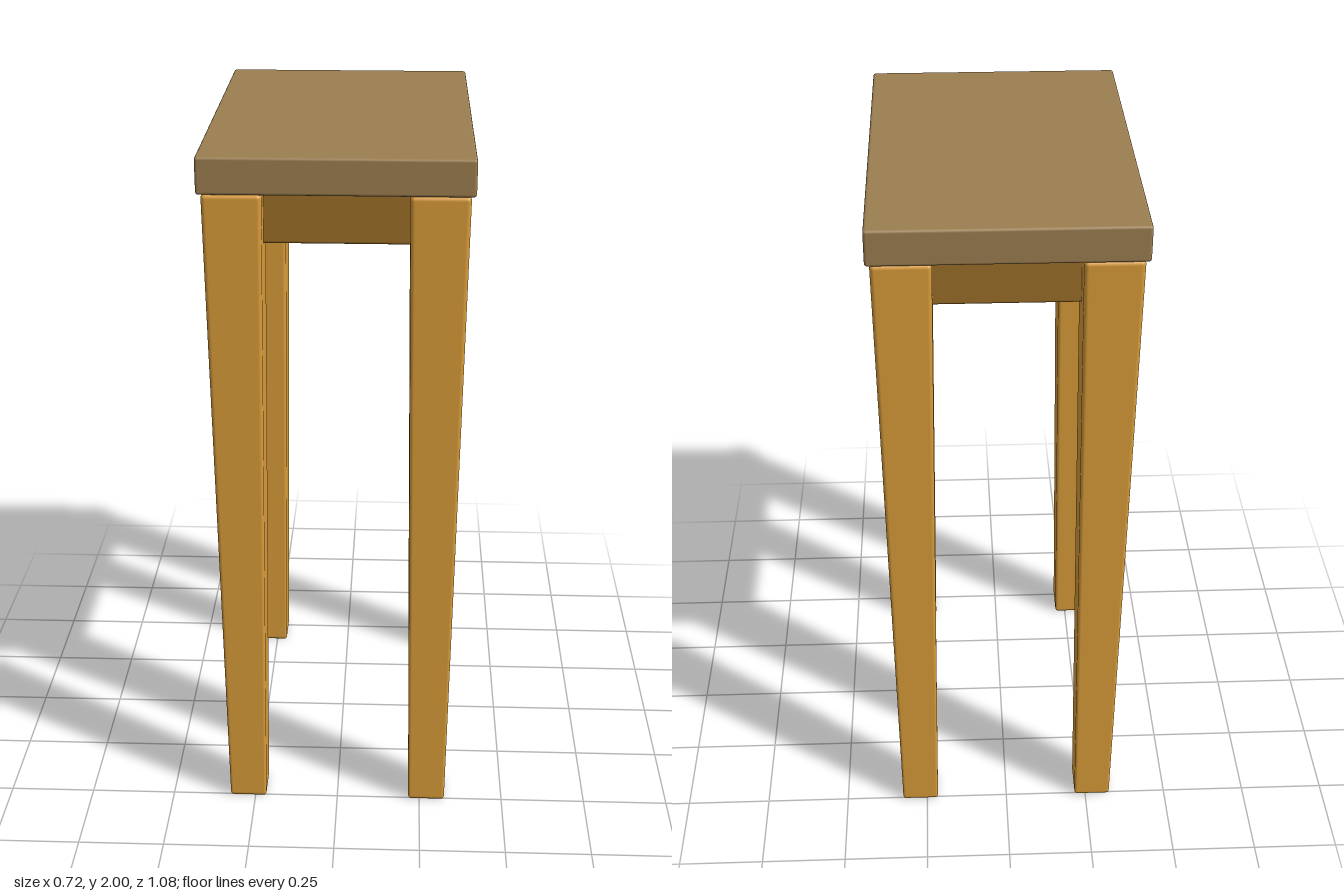
import * as THREE from 'three';
import { RoundedBoxGeometry } from 'three/addons/geometries/RoundedBoxGeometry.js';

const TOP_Y = 1.9;      // underside of the table top
const LEG_WIDTH = 0.158;
const FOOT_SCALE = 0.69;

function part(name, geometry, color, x, y, z) {
  const mesh = new THREE.Mesh(geometry, new THREE.MeshStandardMaterial({ color }));
  mesh.name = name;
  mesh.position.set(x, y, z);
  return mesh;
}

// Square leg with softened edges, narrowing evenly towards the foot
function legGeometry() {
  const geometry = new RoundedBoxGeometry(LEG_WIDTH, TOP_Y, LEG_WIDTH, 3, 0.012);
  const p = geometry.attributes.position;
  for (let i = 0; i < p.count; i++) {
    const t = p.getY(i) / TOP_Y + 0.5;
    const s = THREE.MathUtils.lerp(FOOT_SCALE, 1, t);
    p.setX(i, p.getX(i) * s);
    p.setZ(i, p.getZ(i) * s);
  }
  return geometry;
}

export function createModel() {
  const group = new THREE.Group();
  group.name = 'sideTable';

  // Slab top
  group.add(part('tableTop', new RoundedBoxGeometry(0.724, 0.1, 1.076, 3, 0.008), 0x9c7e50, 0, 1.95, 0));

  // Solid apron block, set back behind the legs' outer faces
  group.add(part('apron', new RoundedBoxGeometry(0.63, 0.16, 0.934, 3, 0.008), 0x9c6f28, 0, 1.83, 0));

  // Four tapered legs
  const leg = legGeometry();
  for (const [xName, sx] of [['Left', 1], ['Right', -1]]) {
    for (const [zName, sz] of [['front', 1], ['back', -1]]) {
      group.add(part(`${zName}${xName}Leg`, leg, 0xd99c3a, sx * 0.271, TOP_Y / 2, sz * 0.454));
    }
  }
  return group;
}
